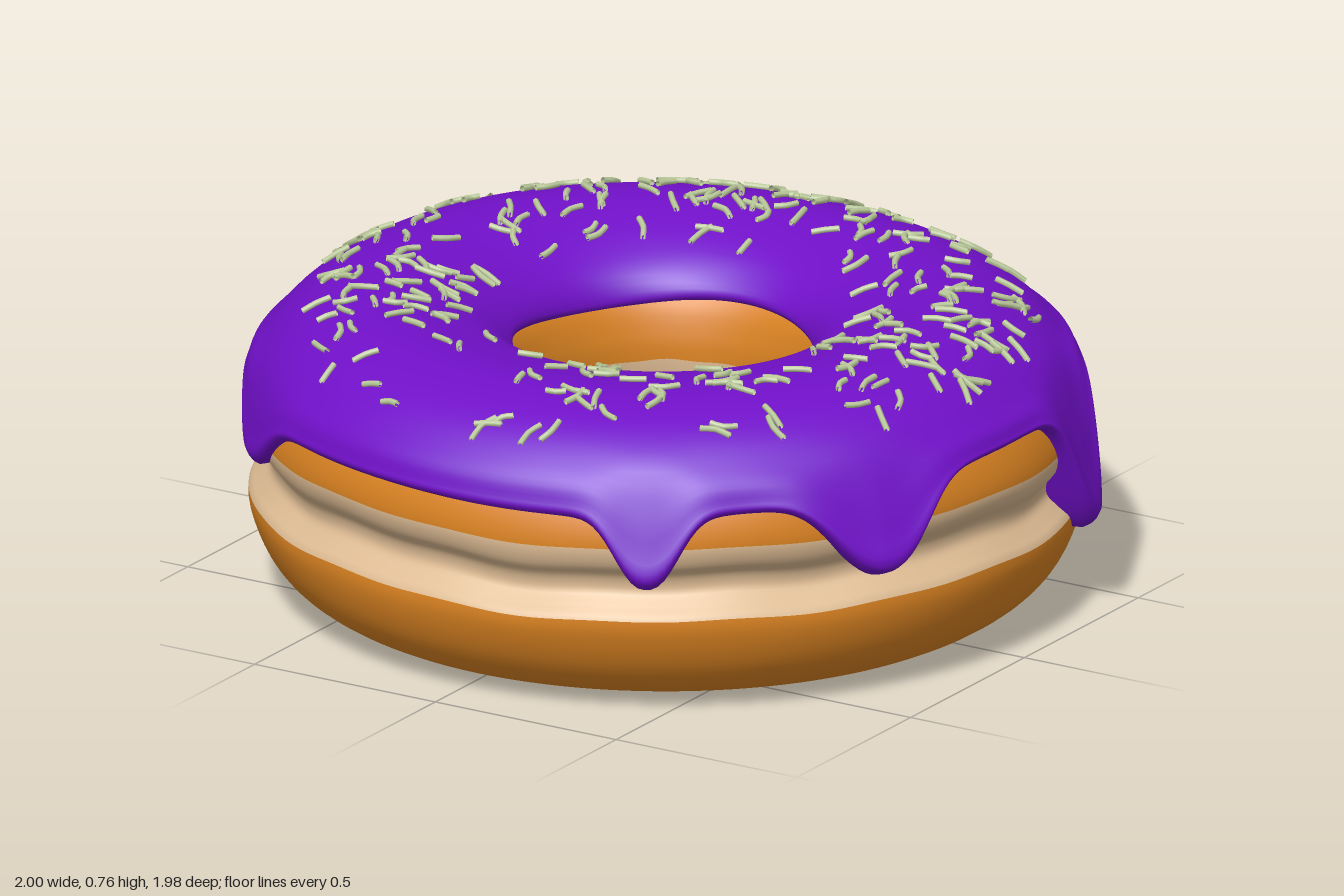
import * as THREE from 'three';
import { mergeGeometries } from 'three/addons/utils/BufferGeometryUtils.js';

const DEG = Math.PI / 180;
const bump = (a, center, width, power = 2) => {
  const d = Math.atan2(Math.sin(a - center), Math.cos(a - center));
  return Math.exp(-Math.pow(Math.abs(d / width), power));
};

// Smooth [radius, height] section through a few points
function smooth(points, perSegment, closed = false) {
  const curve = new THREE.CatmullRomCurve3(points.map(([r, y]) => new THREE.Vector3(r, y, 0)), closed);
  const count = perSegment * (closed ? points.length : points.length - 1);
  return curve.getPoints(count).map((p) => [p.x, p.y]);
}

// Ring surface whose section may change with the angle
function ring(section, segments) {
  const positions = [], index = [];
  let rows = 0;
  for (let i = 0; i < segments; i++) {
    const a = (i / segments) * Math.PI * 2;
    const pts = section(a);
    rows = pts.length;
    for (const [r, y] of pts) positions.push(r * Math.cos(a), y, r * Math.sin(a));
  }
  for (let j = 0; j < rows - 1; j++) {
    for (let i = 0; i < segments; i++) {
      const p = i * rows + j, q = ((i + 1) % segments) * rows + j;
      index.push(p, q, p + 1, q, q + 1, p + 1);
    }
  }
  const g = new THREE.BufferGeometry();
  g.setAttribute('position', new THREE.Float32BufferAttribute(positions, 3));
  g.setIndex(index);
  g.computeVertexNormals();
  return g;
}

// Dough section: underside, hole cream, crown, then outer cream
const DOUGH = [
  [0.975, 0.25], [0.96, 0.17], [0.91, 0.085], [0.82, 0.022], [0.72, 0.002], [0.6, 0.004],
  [0.5, 0.04], [0.42, 0.12], [0.37, 0.2],
  [0.352, 0.26], [0.358, 0.31], [0.362, 0.36],
  [0.355, 0.43], [0.358, 0.49], [0.39, 0.58], [0.5, 0.655], [0.66, 0.685], [0.8, 0.65],
  [0.905, 0.58], [0.952, 0.5],
  [0.967, 0.425], [0.955, 0.38], [0.928, 0.345], [0.925, 0.31], [0.95, 0.28],
];
const PER = 4, DOUGH_SEGMENTS = 160;

function doughGeometry() {
  const base = smooth(DOUGH, PER, true);
  const g = ring((a) => base.map(([r, y]) => {
    const fade = Math.exp(-(((y - 0.33) / 0.12) ** 2));
    const wave = 0.006 * Math.sin(3 * a + 1) + 0.004 * Math.sin(8 * a) + 0.003 * Math.sin(17 * a);
    return [r + fade * 0.005 * Math.sin(5 * a + 2), y + fade * wave];
  }), DOUGH_SEGMENTS);
  // Colour bands follow the section: 0 dough, 1 cream
  const perPoint = PER * DOUGH_SEGMENTS * 6;
  [[0, 9, 0], [9, 12, 1], [12, 20, 0], [20, 25, 1]].forEach(([from, to, m]) =>
    g.addGroup(from * perPoint, (to - from) * perPoint, m));
  return g.translate(0.015, 0, 0.01);
}

// Icing drips: angle, depth, width, bulge
const DRIPS = [
  [60, 0.165, 0.095, 0.05], [27, 0.19, 0.15, 0.065], [-20, 0.315, 0.125, 0.07],
  [-98.5, 0.175, 0.085, 0.03], [186, 0.18, 0.085, 0.03], [135, 0.125, 0.14, 0.02],
  [229, 0.035, 0.15, 0.01],
].map(([deg, ...rest]) => [deg * DEG, ...rest]);

function icingSection(a) {
  let edge = 0.505 + 0.03 * bump(a, -25 * DEG, 0.7) - 0.015 * bump(a, 80 * DEG, 0.4) + 0.005 * Math.sin(5 * a);
  let bulge = 0;
  for (const [center, depth, width, out] of DRIPS) {
    edge -= depth * bump(a, center, width, 2.4);
    bulge += out * bump(a, center, width * 1.3);
  }
  const inner = 0.57 + 0.012 * Math.sin(3 * a) - 0.05 * bump(a, 115 * DEG, 0.25);
  const h = 0.014 * Math.cos(a - 216 * DEG) + 0.006 * Math.cos(2 * a - 0.3);
  const y = (t) => edge + (0.6 - edge) * t;
  return smooth([
    [0.395, inner + 0.008], [0.362, inner], [0.352, inner + 0.018], [0.375, 0.63], [0.43, 0.672],
    [0.53, 0.707 + h * 0.6], [0.66, 0.727 + h], [0.78, 0.706 + h], [0.87, 0.66 + h * 0.5],
    [0.936, 0.6], [0.964 + bulge * 0.35, y(0.66)], [0.974 + bulge * 0.75, y(0.33)],
    [0.978 + bulge, y(0.08) + 0.008], [0.962 + bulge * 0.7, edge], [0.92, edge + 0.015],
  ], 3);
}

// Icing height under a point
function icingHeight(x, z) {
  const r = Math.hypot(x, z), pts = icingSection(Math.atan2(z, x));
  for (let i = 9; i < 30; i++) {
    const [r0, y0] = pts[i], [r1, y1] = pts[i + 1];
    if (r >= r0 && r <= r1) return y0 + ((y1 - y0) * (r - r0)) / (r1 - r0);
  }
  return 0.62;
}

// Short bent sprinkles scattered over the icing
function sprinkleGeometry() {
  let seed = 7;
  const random = () => ((seed = (seed * 16807) % 2147483647) / 2147483647);
  const crowded = [236, 262, 65, -28, 185, 0, 150];
  const parts = [];
  while (parts.length < 290) {
    const a = parts.length % 2
      ? random() * Math.PI * 2
      : (crowded[Math.floor(random() * crowded.length)] + (random() - 0.5) * 44) * DEG;
    const r = 0.45 + 0.43 * Math.pow(random(), 0.75);
    const turn = random() * Math.PI, half = 0.022 + random() * 0.016, bend = (random() - 0.5) * 0.02;
    const points = [-1, 0, 1].map((t) => {
      const side = t === 0 ? bend : 0;
      const x = r * Math.cos(a) + Math.cos(turn) * half * t - Math.sin(turn) * side;
      const z = r * Math.sin(a) + Math.sin(turn) * half * t + Math.cos(turn) * side;
      return new THREE.Vector3(x, icingHeight(x, z) + 0.007, z);
    });
    parts.push(new THREE.TubeGeometry(new THREE.CatmullRomCurve3(points), 4, 0.0075, 6));
  }
  return mergeGeometries(parts);
}

export function createModel() {
  const material = (name, color, side = THREE.FrontSide) => {
    const m = new THREE.MeshStandardMaterial({ color, side });
    m.name = name;
    return m;
  };
  const dough = material('golden dough', 0xdc8422);
  const cream = material('cream', 0xdebc94);
  const purple = material('purple icing', 0x7010c8, THREE.DoubleSide);
  const green = material('pale green sprinkles', 0xbccb9c, THREE.DoubleSide);

  const group = new THREE.Group();
  group.name = 'doughnut';
  const add = (name, geometry, mat) => {
    const mesh = new THREE.Mesh(geometry, mat);
    mesh.name = name;
    group.add(mesh);
  };
  add('doughRing', doughGeometry(), [dough, cream]);
  add('icing', ring(icingSection, 400), purple);
  add('sprinkles', sprinkleGeometry(), green);
  return group;
}
